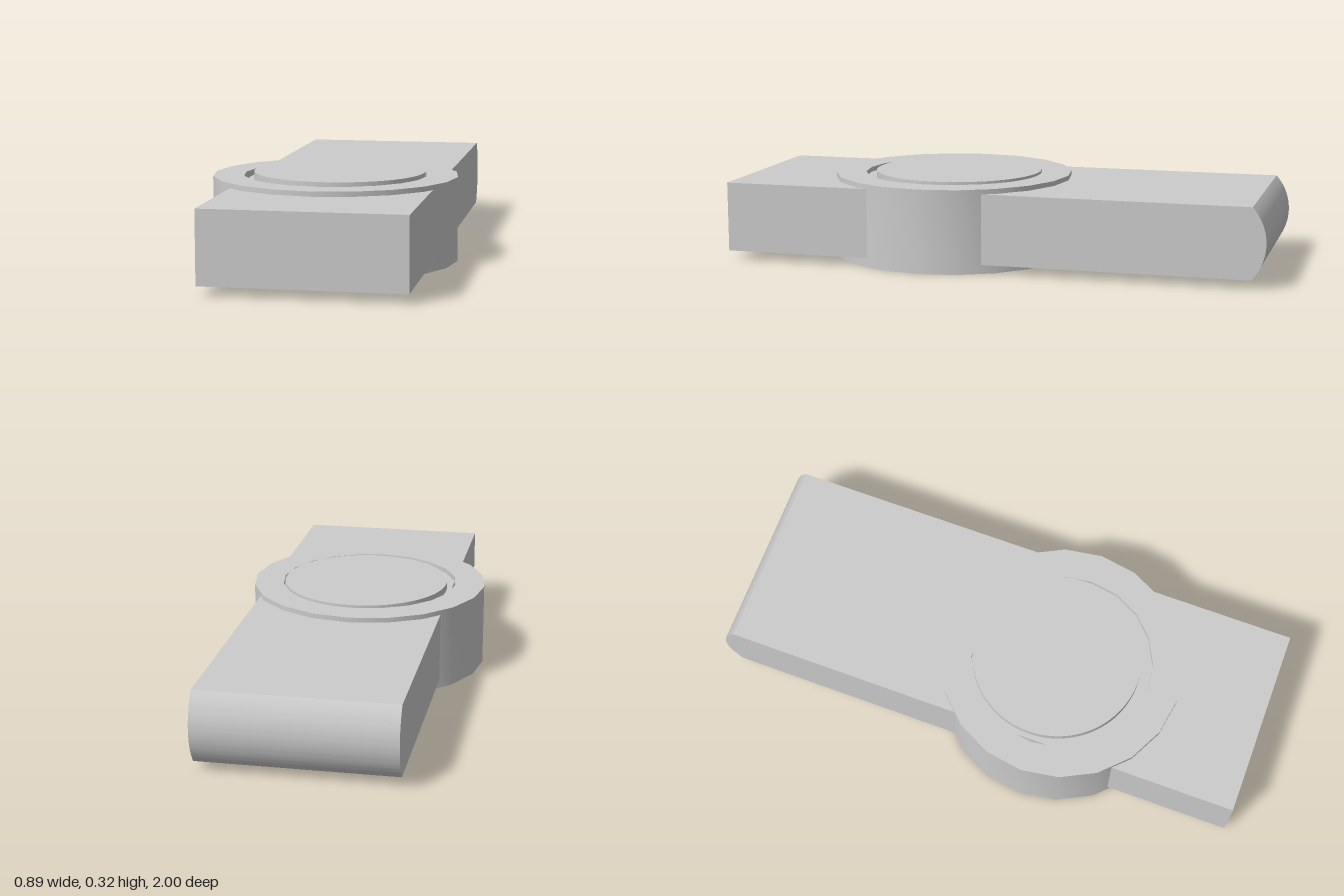
import * as THREE from 'three';
import { toCreasedNormals } from 'three/addons/utils/BufferGeometryUtils.js';

export function createModel() {
  const model = new THREE.Group();
  const material = new THREE.MeshStandardMaterial({ color: 0xcccccc });
  const add = (name, geometry, x, y, z) => {
    const mesh = new THREE.Mesh(geometry, material);
    mesh.name = name;
    mesh.position.set(x, y, z);
    model.add(mesh);
  };

  // Strap: side profile (z, y) with a bulging back end, extruded across x
  const bottom = 0.033, top = 0.29, bulge = 0.05, width = 0.705;
  const half = (top - bottom) / 2;
  const radius = (half * half + bulge * bulge) / (2 * bulge);
  const angle = Math.asin(half / radius);
  const profile = new THREE.Shape();
  profile.moveTo(1, bottom);
  profile.lineTo(1, top);
  profile.absarc(-1 + radius, bottom + half, radius, Math.PI - angle, Math.PI + angle, false);
  profile.closePath();
  const strap = new THREE.ExtrudeGeometry(profile, { depth: width, bevelEnabled: false, curveSegments: 16 });
  strap.rotateY(-Math.PI / 2);
  add('strap', toCreasedNormals(strap, 0.4), 0.385, 0, 0);

  // Ring around the strap: twenty-sided, open through the middle
  const outer = 0.447, inner = 0.335, height = 0.308;
  const section = [[outer, 0], [outer, height], [inner, height], [inner, 0], [outer, 0]]
    .map(([r, y]) => new THREE.Vector2(r, y));
  add('ring', toCreasedNormals(new THREE.LatheGeometry(section, 20), 0.6), 0, 0, 0.235);

  // Round face plate, slightly off centre in the ring
  const plateBase = 0.25, plateTop = 0.318;
  add('facePlate', new THREE.CylinderGeometry(0.313, 0.313, plateTop - plateBase, 64),
    0.01, (plateBase + plateTop) / 2, 0.2125);

  return model;
}
